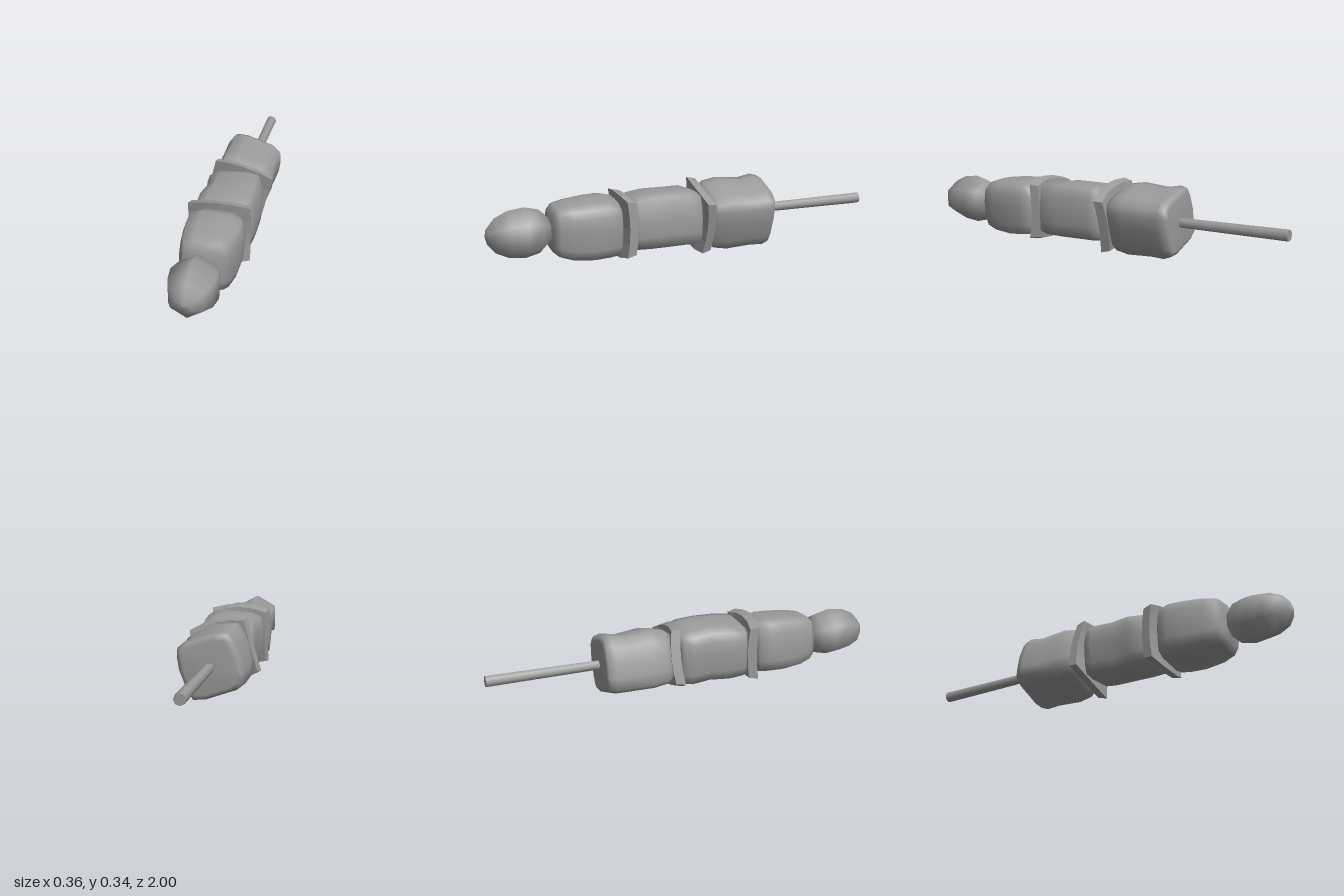
import * as THREE from 'three';

const AXIS_Y = 0.178;
const TWIST = -0.262;
const smooth = new THREE.MeshStandardMaterial({ color: 0x9b9b9b });
const faceted = new THREE.MeshStandardMaterial({ color: 0x9b9b9b, flatShading: true });

// Rounded-square outline in -1..1, counter-clockwise
const OUTLINE = [
  [1, 0.1], [0.96, 0.5], [0.87, 0.78], [0.56, 0.94], [0, 0.98], [-0.42, 1],
  [-0.8, 0.92], [-0.93, 0.6], [-1, 0.1], [-0.97, -0.4], [-0.92, -0.76], [-0.6, -0.91],
  [0, -0.96], [0.42, -1], [0.82, -0.93], [0.93, -0.6],
];

// Every part is centred on the skewer's axis
function addMesh(group, name, geometry, material) {
  const mesh = new THREE.Mesh(geometry, material);
  mesh.name = name;
  mesh.position.y = AXIS_Y;
  group.add(mesh);
  return mesh;
}

// Loft of the outline through stations [z, left, right, bottom, top], z increasing
function chunkGeometry(stations, flip = 1) {
  const n = OUTLINE.length;
  const pos = [];
  const index = [];
  const ring = OUTLINE.map(([x, y]) => [x * flip, y]);
  if (flip < 0) ring.reverse();
  for (const [z, x0, x1, y0, y1] of stations) {
    for (const [u, v] of ring) {
      pos.push((x0 + x1) / 2 + (u * (x1 - x0)) / 2, (y0 + y1) / 2 + (v * (y1 - y0)) / 2, z);
    }
  }
  const last = (stations.length - 1) * n;
  const back = stations.length * n;
  pos.push(0, 0, stations[0][0], 0, 0, stations[stations.length - 1][0]);
  for (let j = 0; j < n; j++) {
    const k = (j + 1) % n;
    for (let a = 0; a < last; a += n) {
      index.push(a + j, a + k, a + n + k, a + j, a + n + k, a + n + j);
    }
    index.push(back, k, j, back + 1, last + j, last + k);
  }
  const geometry = new THREE.BufferGeometry();
  geometry.setAttribute('position', new THREE.Float32BufferAttribute(pos, 3));
  geometry.setIndex(index);
  geometry.computeVertexNormals();
  return geometry;
}

// Thin square layer: bowed at top and bottom, curved like a petal, narrower behind
function sliceGeometry() {
  const geometry = new THREE.BoxGeometry(0.3, 0.276, 0.046, 4, 4, 1);
  const p = geometry.attributes.position;
  for (let i = 0; i < p.count; i++) {
    const u = p.getX(i) / 0.15;
    const v = p.getY(i) / 0.138;
    const taper = p.getZ(i) < 0 ? 0.94 : 1;
    p.setXYZ(
      i,
      p.getX(i) * taper,
      p.getY(i) * taper * (1 + 0.17 * (1 - u * u)),
      p.getZ(i) - 0.018 * u * u + 0.012 * v * v,
    );
  }
  return geometry;
}

export function createModel() {
  const model = new THREE.Group();
  model.name = 'skewer';

  // Stick running through everything
  const stick = new THREE.CylinderGeometry(0.016, 0.028, 1.7, 8).rotateX(Math.PI / 2);
  addMesh(model, 'stick', stick, smooth).position.z = -0.15;

  // Six-sided tomato at the tip
  const profile = [
    [0, 0.69], [0.06, 0.692], [0.108, 0.74], [0.125, 0.81],
    [0.115, 0.89], [0.085, 0.953], [0.04, 0.99], [0, 1],
  ].map(([r, z]) => new THREE.Vector2(r, z));
  addMesh(model, 'tomato', new THREE.LatheGeometry(profile, 6).rotateX(Math.PI / 2), smooth);

  // Three lumpy chunks, the rear one twisted
  addMesh(model, 'frontChunk', chunkGeometry([
    [0.35, -0.1, 0.1, -0.105, 0.1],
    [0.366, -0.133, 0.132, -0.138, 0.131],
    [0.42, -0.146, 0.142, -0.144, 0.143],
    [0.5, -0.141, 0.14, -0.149, 0.14],
    [0.6, -0.127, 0.127, -0.141, 0.131],
    [0.66, -0.11, 0.112, -0.122, 0.119],
    [0.687, -0.09, 0.09, -0.098, 0.092],
  ]), smooth);
  addMesh(model, 'middleChunk', chunkGeometry([
    [-0.06, -0.105, 0.11, -0.108, 0.112],
    [-0.045, -0.13, 0.138, -0.13, 0.134],
    [0, -0.145, 0.145, -0.136, 0.149],
    [0.1, -0.125, 0.149, -0.135, 0.153],
    [0.2, -0.146, 0.151, -0.136, 0.15],
    [0.28, -0.137, 0.146, -0.133, 0.14],
    [0.318, -0.11, 0.12, -0.108, 0.107],
  ], -1), smooth);
  const rearChunk = addMesh(model, 'rearChunk', chunkGeometry([
    [-0.445, -0.12, 0.12, -0.12, 0.12],
    [-0.435, -0.143, 0.14, -0.14, 0.142],
    [-0.4, -0.152, 0.153, -0.15, 0.151],
    [-0.33, -0.148, 0.143, -0.151, 0.138],
    [-0.2, -0.148, 0.152, -0.153, 0.153],
    [-0.13, -0.143, 0.143, -0.142, 0.14],
    [-0.085, -0.115, 0.115, -0.11, 0.11],
  ]), smooth);
  rearChunk.rotation.z = TWIST;

  // Two onion slices, the rear one twisted
  for (const [name, z, turn] of [['frontOnion', 0.328, 0], ['rearOnion', -0.076, TWIST]]) {
    const slice = addMesh(model, name, sliceGeometry(), faceted);
    slice.position.z = z;
    slice.rotation.z = turn;
  }
  return model;
}
